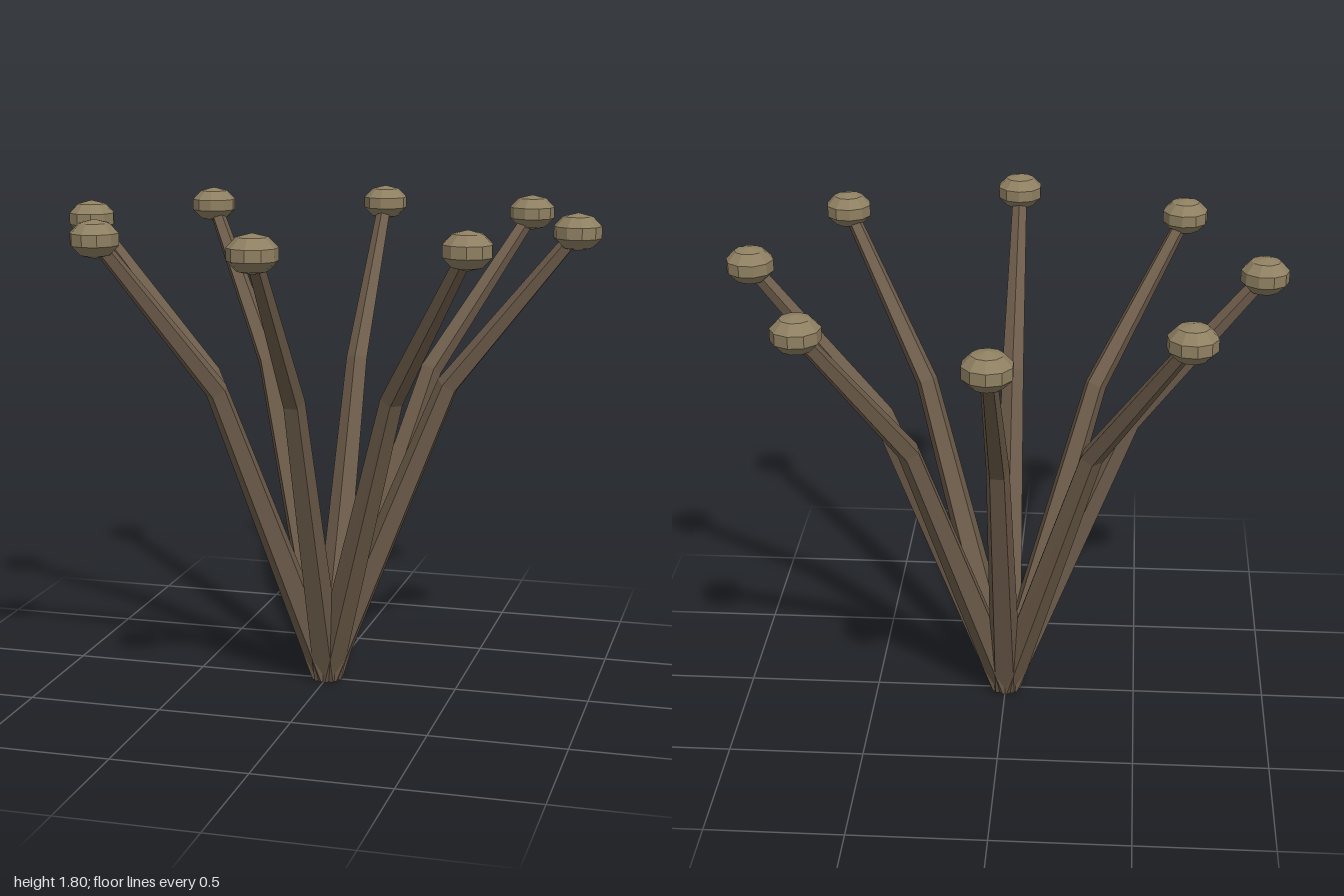
import * as THREE from 'three';

const SIDES = 5;

// Bent, tapering stem in the local x-y plane; each ring is [x, y, radius, tilt from vertical]
function stemGeometry(rings) {
  const pos = [], index = [];
  for (const [x, y, r, tilt] of rings) {
    for (let j = 0; j < SIDES; j++) {
      const a = (j / SIDES) * Math.PI * 2;
      const n = Math.cos(a) * r;
      pos.push(x - Math.cos(tilt) * n, y + Math.sin(tilt) * n, Math.sin(a) * r);
    }
  }
  const last = (rings.length - 1) * SIDES;
  for (let j = 0; j < SIDES; j++) {
    const k = (j + 1) % SIDES;
    for (let i = 0; i < last; i += SIDES) {
      index.push(i + j, i + k, i + SIDES + k, i + j, i + SIDES + k, i + SIDES + j);
    }
    // End caps
    if (j > 0 && k > 0) {
      index.push(0, k, j, last, last + j, last + k);
    }
  }
  const g = new THREE.BufferGeometry();
  g.setAttribute('position', new THREE.Float32BufferAttribute(pos, 3));
  g.setIndex(index);
  const flat = g.toNonIndexed();
  flat.computeVertexNormals();
  return flat;
}

export function createModel() {
  const model = new THREE.Group();
  model.name = 'stemCluster';

  const stemMat = new THREE.MeshStandardMaterial({ color: 0x6e5d4b, flatShading: true });
  const tipMat = new THREE.MeshStandardMaterial({ color: 0x8f8062, flatShading: true });

  const stemGeo = stemGeometry([
    [0, 0.018, 0.062, 0.375],
    [0.455, 1.16, 0.043, 0.53],
    [0.912, 1.73, 0.028, 0.68],
  ]);

  // Flattened faceted bud
  const tipGeo = new THREE.SphereGeometry(0.09, 10, 5);
  tipGeo.scale(1, 0.75, 1);

  // Eight identical stalks fanned around the base
  for (let i = 0; i < 8; i++) {
    const stalk = new THREE.Group();
    stalk.name = `stalk${i + 1}`;
    const stem = new THREE.Mesh(stemGeo, stemMat);
    stem.name = 'stem';
    const tip = new THREE.Mesh(tipGeo, tipMat);
    tip.name = 'tip';
    tip.position.set(0.914, 1.732, 0);
    stalk.add(stem, tip);
    stalk.rotation.y = (i * Math.PI) / 4;
    model.add(stalk);
  }
  return model;
}
